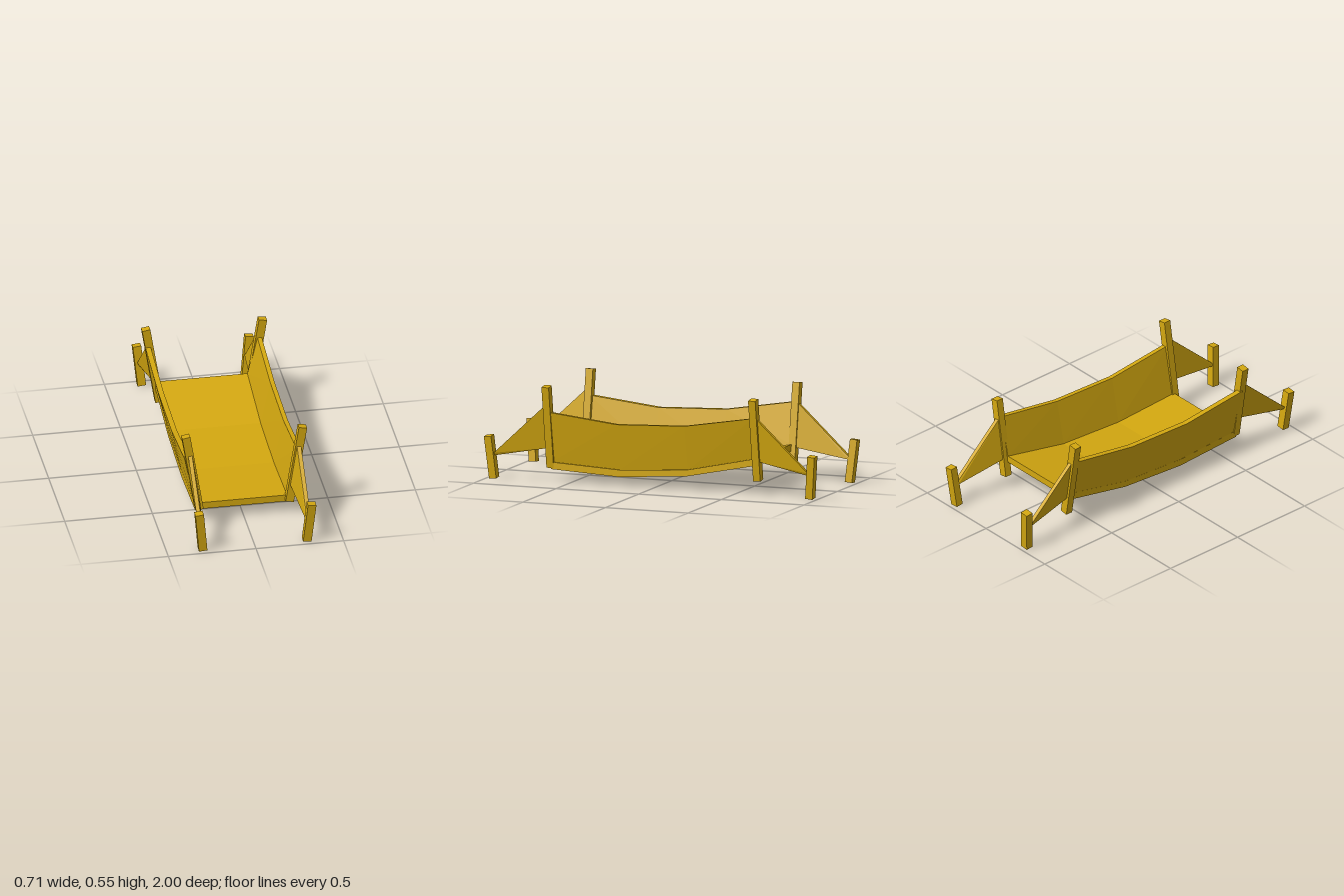
import * as THREE from 'three';

const wood = new THREE.MeshStandardMaterial({ color: 0xd4a810 });
wood.name = 'goldenWood';

// Solid skinned through four-cornered cross-sections, with flat faces
function loft(name, sections) {
  const pos = [];
  const quad = (a, b, c, d) => pos.push(...a, ...b, ...c, ...a, ...c, ...d);
  for (let i = 0; i < sections.length - 1; i++) {
    const s = sections[i], t = sections[i + 1];
    for (let k = 0; k < 4; k++) {
      const n = (k + 1) % 4;
      quad(s[k], s[n], t[n], t[k]);
    }
  }
  const first = sections[0], last = sections[sections.length - 1];
  quad(first[3], first[2], first[1], first[0]);
  quad(last[0], last[1], last[2], last[3]);

  // Turn the faces outward whichever way the sections run
  let volume = 0;
  const p = [0, 1, 2].map(() => new THREE.Vector3());
  for (let i = 0; i < pos.length; i += 9) {
    p.forEach((v, k) => v.fromArray(pos, i + k * 3));
    volume += p[0].dot(p[1].clone().cross(p[2]));
  }
  if (volume < 0) {
    for (let i = 0; i < pos.length; i += 9) {
      for (let k = 0; k < 3; k++) {
        [pos[i + 3 + k], pos[i + 6 + k]] = [pos[i + 6 + k], pos[i + 3 + k]];
      }
    }
  }
  const geo = new THREE.BufferGeometry();
  geo.setAttribute('position', new THREE.Float32BufferAttribute(pos, 3));
  geo.computeVertexNormals();
  const mesh = new THREE.Mesh(geo, wood);
  mesh.name = name;
  return mesh;
}

// Square post between two end points
function post(name, bottom, top, width, depth) {
  const a = new THREE.Vector3(...bottom), b = new THREE.Vector3(...top);
  const axis = b.clone().sub(a);
  const mesh = new THREE.Mesh(new THREE.BoxGeometry(width, axis.length(), depth), wood);
  mesh.position.copy(a).add(b).multiplyScalar(0.5);
  mesh.quaternion.setFromUnitVectors(new THREE.Vector3(0, 1, 0), axis.normalize());
  mesh.name = name;
  return mesh;
}

export function createModel() {
  const bridge = new THREE.Group();
  bridge.name = 'bridge';

  // Sagging line of the bridge: z, deck underside, deck top, wall top
  const stations = [
    [0.62, 0.07, 0.11, 0.40],
    [0.205, 0.05, 0.09, 0.355],
    [-0.205, 0.08, 0.116, 0.371],
    [-0.62, 0.165, 0.205, 0.44],
  ];

  // Deck
  bridge.add(loft('deck', stations.map(([z, low, high]) =>
    [[-0.28, low, z], [0.28, low, z], [0.28, high, z], [-0.28, high, z]])));

  for (const side of [1, -1]) {
    const label = side > 0 ? 'left' : 'right';

    // Leaning side wall: inner and outer x at foot and top
    const [footIn, footOut, topOut, topIn] =
      side > 0 ? [0.246, 0.271, 0.326, 0.301] : [0.255, 0.279, 0.338, 0.307];
    bridge.add(loft(label + 'Wall', stations.map(([z, , foot, top]) => [
      [side * footIn, foot - 0.002, z], [side * footOut, foot - 0.002, z],
      [side * topOut, top, z], [side * topIn, top, z],
    ])));

    for (const end of [1, -1]) {
      const where = label + (end > 0 ? 'Front' : 'Back');

      // Tall corner post
      bridge.add(post(where + 'Post',
        [side * 0.257, 0.08, end * 0.625], [side * 0.333, 0.548, end * 0.625], 0.047, 0.043));

      // Short outer post
      bridge.add(post(where + 'EndPost',
        [side * 0.297, 0.004, end * 0.956], [side * 0.321, 0.246, end * 0.978], 0.048, 0.043));

      // Tapering wing panel between the two posts
      const wing = (z, low, high, xLow, xHigh) => [
        [side * xLow, low, end * z], [side * (xLow + 0.023), low, end * z],
        [side * (xHigh + 0.023), high, end * z], [side * xHigh, high, end * z],
      ];
      bridge.add(loft(where + 'Wing', [
        wing(0.63, 0.19, 0.445, 0.259, 0.299),
        wing(0.95, 0.133, 0.148, 0.291, 0.298),
      ]));
    }
  }
  return bridge;
}
